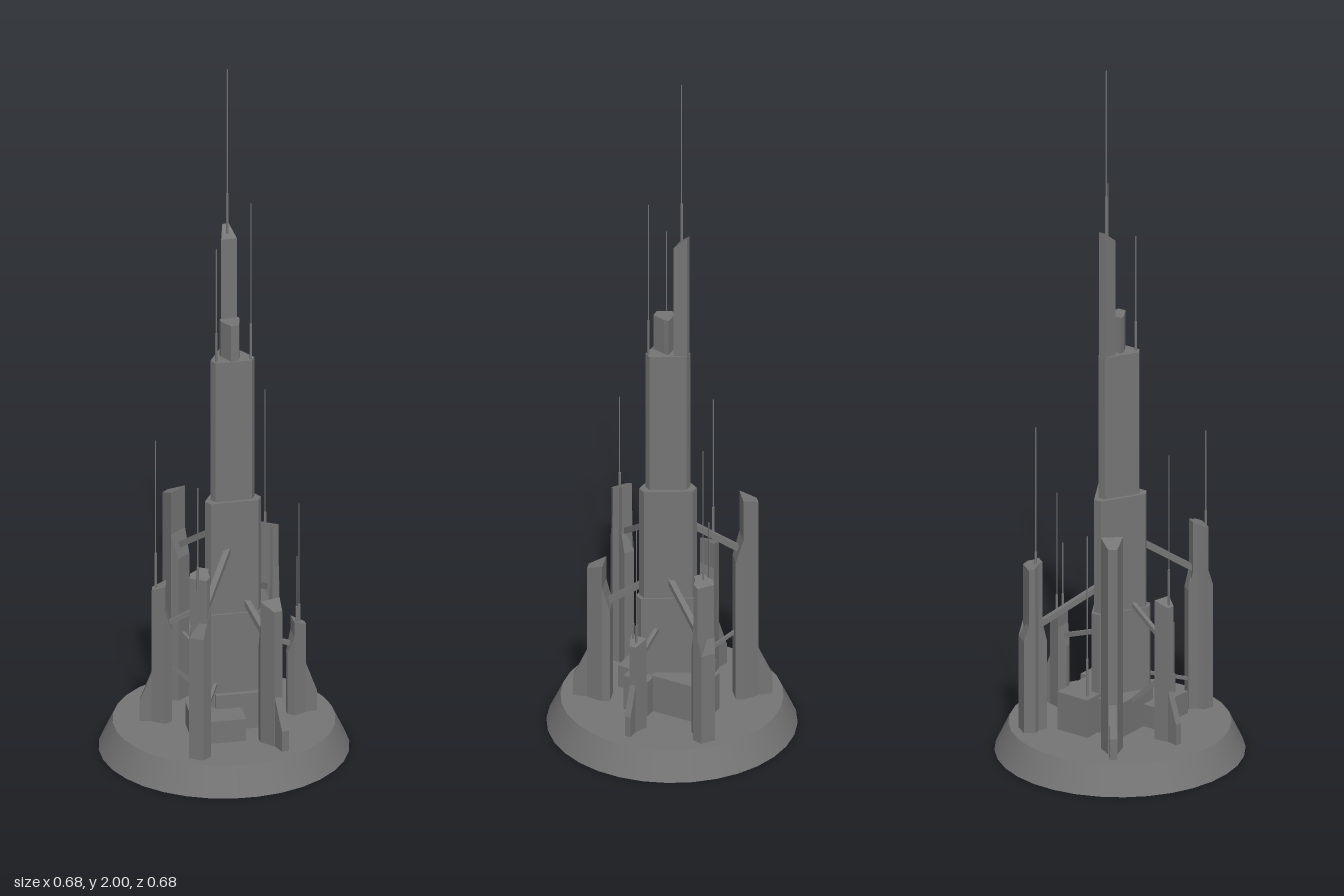
import * as THREE from 'three';

const COLOR = 0x757575;
const grey = new THREE.MeshStandardMaterial({ color: COLOR, flatShading: true });
const greyOpen = new THREE.MeshStandardMaterial({ color: COLOR, side: THREE.DoubleSide });
const GROUND = 0.08;

function add(parent, name, geometry, material = grey) {
  const mesh = new THREE.Mesh(geometry, material);
  mesh.name = name;
  parent.add(mesh);
  return mesh;
}

// Upright prism over a plan of [x, z] points; top is a height or a rule top(x, z)
function prism(plan, y0, top) {
  const shape = new THREE.Shape(plan.map(([x, z]) => new THREE.Vector2(x, -z)));
  const geo = new THREE.ExtrudeGeometry(shape, { depth: 1, bevelEnabled: false });
  geo.rotateX(-Math.PI / 2);
  const p = geo.attributes.position;
  for (let i = 0; i < p.count; i++) {
    const high = typeof top === 'function' ? top(p.getX(i), p.getZ(i)) : top;
    p.setY(i, p.getY(i) > 0.5 ? high : y0);
  }
  geo.computeVertexNormals();
  return geo;
}

// Plan symmetric about the x axis from [x, halfWidth] stations
function mirrored(stations, s = 1) {
  const half = stations.map(([x, w]) => [x * s, w * s]);
  return [...half, ...half.map(([x, w]) => [x, -w]).reverse()];
}

// Triangle with cut corners, one corner pointing back
function triPlan(radius, cut) {
  const pts = [];
  for (let i = 0; i < 3; i++) {
    const a = THREE.MathUtils.degToRad(-86 + i * 120);
    for (const s of [-1, 1]) {
      pts.push([
        0.017 + radius * Math.cos(a) - s * cut * Math.sin(a),
        0.005 + radius * Math.sin(a) + s * cut * Math.cos(a),
      ]);
    }
  }
  return pts;
}

// Mast with a thicker lower sleeve
function antenna(parent, x, z, y0, yMid, y1) {
  const g = new THREE.Group();
  g.name = 'antenna';
  const sleeve = add(g, 'antennaSleeve', new THREE.CylinderGeometry(0.0035, 0.0035, yMid - y0, 6));
  sleeve.position.set(x, (y0 + yMid) / 2, z);
  const mast = add(g, 'antennaMast', new THREE.CylinderGeometry(0.0016, 0.0016, y1 - yMid, 6));
  mast.position.set(x, (yMid + y1) / 2, z);
  parent.add(g);
}

// Square beam between two points
function strut(parent, from, to, size) {
  const a = new THREE.Vector3(...from), b = new THREE.Vector3(...to);
  const beam = add(parent, 'strut', new THREE.BoxGeometry(size, size, a.distanceTo(b)));
  beam.position.copy(a).add(b).multiplyScalar(0.5);
  beam.lookAt(b);
}

// Outer tower: core, inner shoulder and slim sloping buttress; local +x points outward
function slimTower(g, { s, top, inner }) {
  const core = [[-0.014, 0.024], [0.022, 0.01]];
  add(g, 'towerCore', prism(mirrored(core, s), GROUND, (u) => top - 0.008 - u * 0.4));
  const shoulder = [[-0.03, inner], [-0.014, 0.024]];
  add(g, 'towerShoulder', prism(mirrored(shoulder, s), GROUND, (u) => top * 0.72 + (u + 0.03 * s) * 3.5));
  const profile = new THREE.Shape([
    [0, GROUND], [0.053 * s, GROUND], [0.053 * s, 0.14], [0.02 * s, 0.23], [0, 0.23],
  ].map(([x, y]) => new THREE.Vector2(x, y)));
  const w = 0.017 * s;
  const geo = new THREE.ExtrudeGeometry(profile, { depth: w, bevelEnabled: false });
  geo.translate(0, 0, -w / 2);
  add(g, 'buttress', geo);
}

// Outer tower with a broad lower hull that slopes in to a taller core
function broadTower(g, { top, shoulder }) {
  const hull = [[-0.045, 0.015], [-0.02, 0.018], [-0.006, 0.031], [0.024, 0.021]];
  add(g, 'towerHull', prism(mirrored(hull), GROUND, (u) => shoulder + Math.min(0.024 - u, 0.03) * 3 - (u < -0.03 ? 0.1 : 0)));
  const core = [[-0.032, 0.015], [-0.02, 0.018], [-0.006, 0.029], [0.01, 0.025]];
  add(g, 'towerCore', prism(mirrored(core), GROUND, (u) => top - 0.005 - u * 0.4));
}

export function createModel() {
  const model = new THREE.Group();
  model.name = 'spireCity';

  // Hollow sloping base with a deck
  const rim = add(model, 'baseRim', new THREE.CylinderGeometry(0.302, 0.34, GROUND, 32, 1, true), greyOpen);
  rim.position.y = GROUND / 2;
  const deck = add(model, 'baseDeck', new THREE.CircleGeometry(0.302, 32).rotateX(-Math.PI / 2), greyOpen);
  deck.position.y = GROUND;

  // Central tower in three stepped triangular tiers
  [[0.093, 0.013, 0.42], [0.083, 0.012, 0.75], [0.064, 0.011, 1.165]].forEach(([r, cut, top], i) => {
    add(model, 'centralTier' + (i + 1), prism(triPlan(r, cut), GROUND, top));
  });

  // Twin crown blocks on the upper tier
  const spirePlan = [[0.012, -0.058], [0.03, -0.058], [0.043, -0.024], [-0.001, -0.024]];
  add(model, 'spireBlock', prism(spirePlan, 1.15, (x, z) => 1.5 + (-0.024 - z) * 0.9));
  const crownPlan = [[-0.01, -0.01], [0.045, -0.01], [0.043, 0.004], [0.03, 0.042], [0.008, 0.042], [-0.01, 0.004]];
  add(model, 'crownBlock', prism(crownPlan, 1.15, 1.27));
  antenna(model, 0.02, -0.038, 1.48, 1.63, 2.0);
  antenna(model, 0.064, 0.041, 1.16, 1.27, 1.63);
  antenna(model, -0.031, 0.031, 1.16, 1.25, 1.5);

  // Low blocks around the foot of the tower
  [
    [[0.013, -0.147], [0.113, -0.138], [0.102, 0.015], [0.0, 0.005], 0.19],
    [[-0.065, -0.103], [0.02, -0.096], [0.005, 0.05], [-0.077, 0.045], 0.18],
    [[0.133, 0.012], [0.125, 0.087], [-0.043, 0.073], [-0.035, 0.0], 0.185],
    [[-0.109, 0.0], [0.034, 0.01], [0.018, 0.153], [-0.127, 0.143], 0.145],
  ].forEach((b, i) => add(model, 'footBlock' + (i + 1), prism(b.slice(0, 4), GROUND, b[4])));
  antenna(model, 0.028, -0.122, 0.18, 0.3, 0.66);
  antenna(model, -0.1, 0.116, 0.14, 0.2, 0.35);

  // Ring of outer towers, each tied to the centre by a strut
  const towers = [
    { x: 0.203, z: 0.013, dir: 2, top: 0.36, s: 1, inner: 0.008, tie: [0.28, 0.33], end: [0.06, 0.008], beam: 0.012 },
    { x: 0.086, z: 0.181, dir: 76, top: 0.5, s: 1.25, inner: 0.019, tie: [0.36, 0.46], end: [0.042, 0.035], beam: 0.016 },
    { x: -0.168, z: -0.038, dir: 198, top: 0.49, s: 1.05, inner: 0.008, tie: [0.36, 0.44], end: [-0.025, 0.008], beam: 0.012 },
    { x: -0.09, z: -0.184, dir: 235, top: 0.7, s: 1.25, inner: 0.019, tie: [0.52, 0.63], end: [0.0, -0.045], beam: 0.016 },
    { x: 0.178, z: -0.177, dir: 308, top: 0.565, shoulder: 0.35, tie: [0.37, 0.47], end: [0.055, -0.02], beam: 0.016 },
    { x: -0.13, z: 0.21, dir: 127, top: 0.62, shoulder: 0.44, tie: [0.47, 0.61], end: [0.0, 0.045], beam: 0.016 },
  ];
  for (const t of towers) {
    const g = new THREE.Group();
    g.name = 'outerTower';
    if (t.shoulder) broadTower(g, t);
    else slimTower(g, t);
    g.position.set(t.x, 0, t.z);
    g.rotation.y = -THREE.MathUtils.degToRad(t.dir);
    model.add(g);
    strut(model, [t.x, t.tie[0], t.z], [t.end[0], t.tie[1], t.end[1]], t.beam);
  }

  // Thin lower braces
  strut(model, [-0.12, 0.16, 0.19], [-0.03, 0.22, 0.04], 0.009);
  strut(model, [-0.15, 0.25, -0.03], [-0.055, 0.16, -0.046], 0.012);
  strut(model, [-0.085, 0.29, -0.17], [0.005, 0.19, -0.05], 0.009);

  // Masts on the outer towers
  antenna(model, 0.164, -0.167, 0.53, 0.6, 0.965);
  antenna(model, -0.137, 0.218, 0.58, 0.65, 0.885);
  antenna(model, -0.181, -0.04, 0.45, 0.58, 0.915);
  antenna(model, 0.208, 0.011, 0.33, 0.4, 0.7);
  antenna(model, 0.198, 0.025, 0.33, 0.4, 0.55);
  return model;
}
